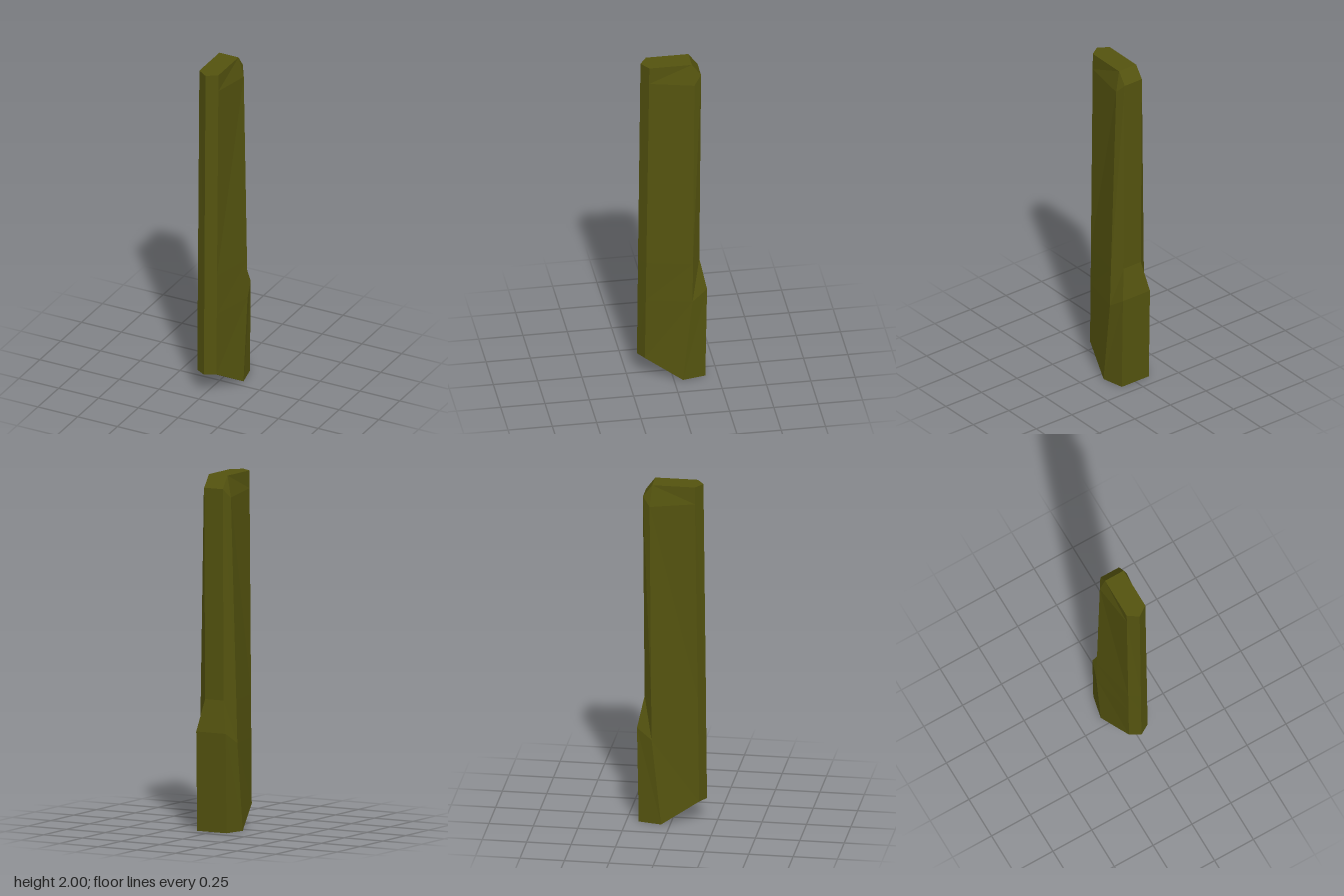
import * as THREE from 'three';

// Each ring gives half a cross-section: front ridge, front edge, side edge, back edge.
// The other half is mirrored across x = 0.
const RINGS = [
  [[0, 0.125, 0.19], [0.06, 0.125, 0.155], [0.123, 0, -0.05], [0.095, 0, -0.18]],
  [[0, 0.5, 0.186], [0.06, 0.5, 0.15], [0.12, 0.5, -0.104], [0.095, 0.56, -0.19]],
  [[0, 0.74, 0.184], [0.06, 0.74, 0.147], [0.115, 0.74, -0.107], [0.06, 0.74, -0.152]],
  [[0, 1.9, 0.171], [0.06, 1.9, 0.131], [0.088, 1.88, -0.12], [0.06, 1.93, -0.162]],
  [[0, 2, 0.17], [0.06, 2, 0.13], [0.06, 2, -0.11], [0.06, 2, -0.11]],
];

function mirrorRing(half) {
  const flip = ([x, y, z]) => [-x, y, z];
  return [...half, flip(half[3]), flip(half[2]), flip(half[1])];
}

// Faceted shell through the rings, closed at both ends
function facetedShell(halves) {
  const rings = halves.map(mirrorRing);
  const positions = [];
  const same = (p, q) => p.every((v, i) => v === q[i]);
  const tri = (a, b, c) => {
    if (!same(a, b) && !same(b, c) && !same(a, c)) positions.push(...a, ...b, ...c);
  };

  for (let r = 0; r < rings.length - 1; r++) {
    const low = rings[r], high = rings[r + 1];
    for (let i = 0; i < 7; i++) {
      const j = (i + 1) % 7;
      const a = low[i], b = low[j], c = high[j], d = high[i];
      // Diagonals mirror from one side to the other
      if (i < 4) { tri(a, b, c); tri(a, c, d); }
      else { tri(a, b, d); tri(b, c, d); }
    }
  }

  // End caps: nose triangle, long panel, back panel
  const cap = (p, up) => {
    const faces = [[0, 1, 6], [1, 2, 5], [1, 5, 6], [2, 3, 4], [2, 4, 5]];
    for (const [a, b, c] of faces) up ? tri(p[a], p[b], p[c]) : tri(p[a], p[c], p[b]);
  };
  cap(rings[0], false);
  cap(rings[rings.length - 1], true);

  const geometry = new THREE.BufferGeometry();
  geometry.setAttribute('position', new THREE.Float32BufferAttribute(positions, 3));
  geometry.computeVertexNormals(); // unshared corners keep every facet flat
  return geometry;
}

export function createModel() {
  const group = new THREE.Group();
  group.name = 'magazine';
  const olive = new THREE.MeshStandardMaterial({ color: 0x54530f });
  olive.name = 'dark olive';

  // Tapered body with the raised lower back
  const body = new THREE.Mesh(facetedShell(RINGS), olive);
  body.name = 'body';
  group.add(body);
  return group;
}
